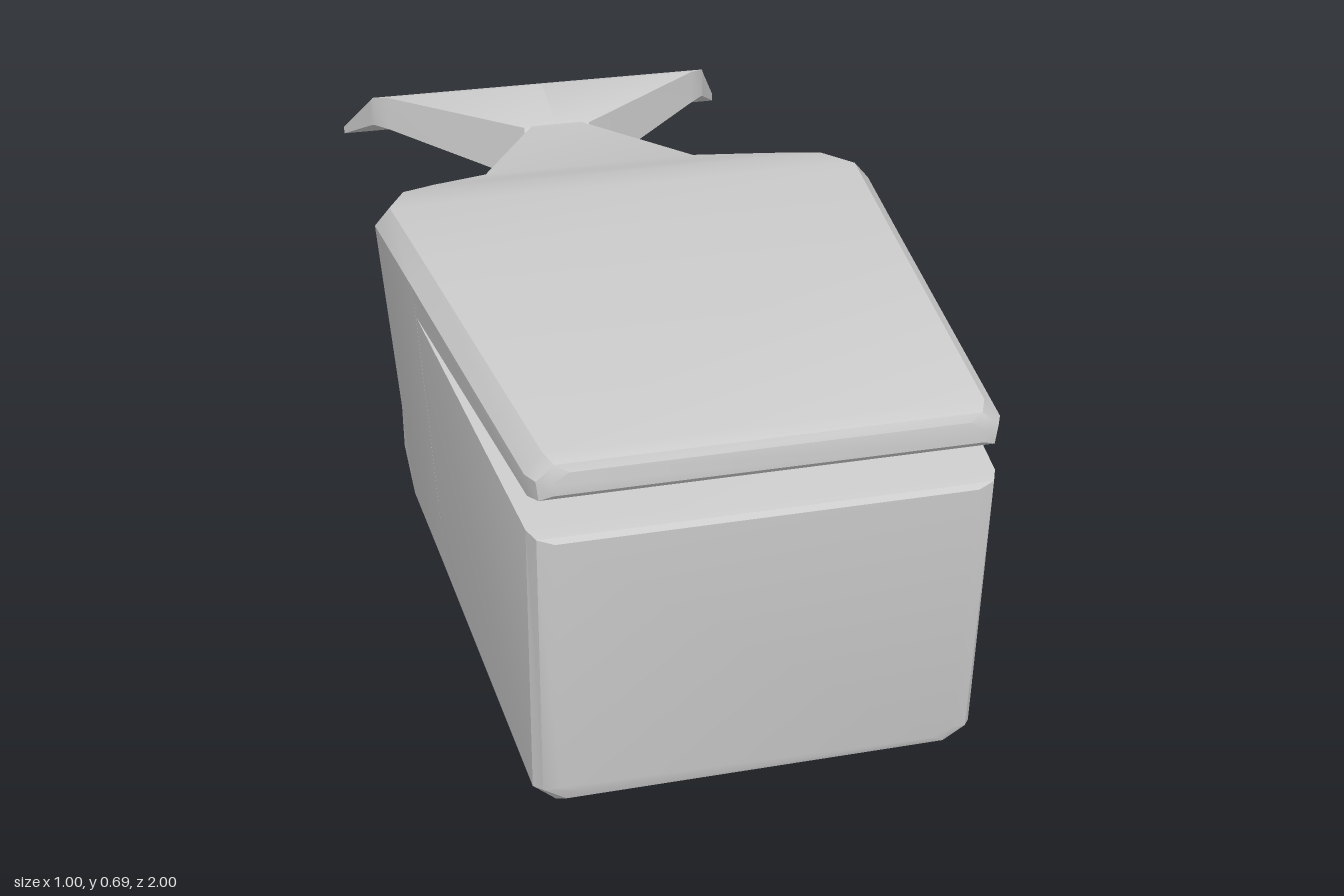
import * as THREE from 'three';
import { toCreasedNormals } from 'three/addons/utils/BufferGeometryUtils.js';

const material = new THREE.MeshStandardMaterial({ color: 0xcccccc, side: THREE.DoubleSide });

// Skin a list of rings, ordered front to back, each counter-clockwise seen from +z
function loft(name, rings, capFront, capBack) {
  const n = rings[0].length;
  const index = [];
  for (let r = 0; r < rings.length - 1; r++) {
    for (let i = 0; i < n; i++) {
      const a = r * n + i, b = r * n + (i + 1) % n;
      index.push(a, a + n, b, b, a + n, b + n);
    }
  }
  const last = (rings.length - 1) * n;
  for (let i = 1; i < n - 1; i++) {
    if (capFront) index.push(0, i, i + 1);
    if (capBack) index.push(last, last + i + 1, last + i);
  }
  const geometry = new THREE.BufferGeometry();
  geometry.setAttribute('position', new THREE.Float32BufferAttribute(rings.flat(2), 3));
  geometry.setIndex(index);
  const mesh = new THREE.Mesh(toCreasedNormals(geometry, 0.5), material);
  mesh.name = name;
  return mesh;
}

// Symmetric ring from its +x half, listed bottom to top as [x, y, z]
const mirrorRing = (half) => [...half, ...half.map(([x, y, z]) => [-x, y, z]).reverse()];

export function createModel() {
  const model = new THREE.Group();

  // Body: top [z, y, half width], bottom [z, y, half width], bottom bevel height
  const bodyStations = [
    [0.28, 0.695, 0.469, 0.28, 0, 0.43, 0.035],
    [0, 0.695, 0.5, -0.02, 0, 0.448, 0.035],
    [-0.1, 0.68, 0.46, -0.14, 0.018, 0.45, 0.062],
    [-0.2, 0.645, 0.385, -0.22, 0.038, 0.385, 0.058],
    [-0.34, 0.595, 0.255, -0.36, 0.105, 0.28, 0.052],
    [-0.7, 0.545, 0.085, -0.7, 0.41, 0.1, 0.04],
  ];
  const bodyRings = bodyStations.map(([zt, yt, wt, zb, yb, wb, bevel]) => mirrorRing([
    [wb - 0.04, yb, zb], [wb, yb + bevel, zb],
    [wt, yt - 0.035, zt], [wt - 0.03, yt, zt],
  ]));
  model.add(loft('body', bodyRings, false, true));

  // Upper jaw: z, half width, lower y, bevel y, top y
  const upper = [
    [1.0, 0.36, 0.635, 0.655, 0.675],
    [0.992, 0.382, 0.625, 0.66, 0.687],
    [0.965, 0.395, 0.62, 0.66, 0.695],
    [0.28, 0.469, 0.6, 0.66, 0.695],
  ];
  model.add(loft('upperJaw', upper.map(([z, w, lo, mid, hi]) => mirrorRing([
    [w - 0.004, lo, z], [w, mid, z], [w - 0.03, hi, z],
  ])), true, false));

  // Lower jaw: z at the top, z at the bottom, half width top and bottom, y bottom, bevel, top
  const lower = [
    [1.0, 0.982, 0.355, 0.35, 0.03, 0.045, 0.545],
    [0.992, 0.975, 0.383, 0.378, 0.014, 0.04, 0.553],
    [0.965, 0.955, 0.395, 0.392, 0, 0.035, 0.557],
    [0.28, 0.28, 0.465, 0.43, 0, 0.035, 0.6],
  ];
  model.add(loft('lowerJaw', lower.map(([zt, zb, wt, wb, lo, mid, hi]) => mirrorRing([
    [wb - 0.04, lo, zb], [wb, mid, zb], [wt, hi, zt],
  ])), true, false));

  // Tail flukes: z, inner x, outer x, bottom y, top y
  const fluke = [
    [-0.69, 0, 0.075, 0.415, 0.545],
    [-0.86, 0, 0.36, 0.5, 0.578],
    [-0.885, 0, 0.393, 0.505, 0.572],
    [-0.9, 0, 0.4, 0.498, 0.557],
    [-1.0, 0.05, 0.452, 0.443, 0.46],
  ];
  for (const side of [1, -1]) {
    const rings = fluke.map(([z, a, b, lo, hi]) => {
      const [x0, x1] = side > 0 ? [a, b] : [-b, -a];
      return [[x0, lo, z], [x1, lo, z], [x1, hi, z], [x0, hi, z]];
    });
    model.add(loft(side > 0 ? 'leftFluke' : 'rightFluke', rings, false, true));
  }
  return model;
}
